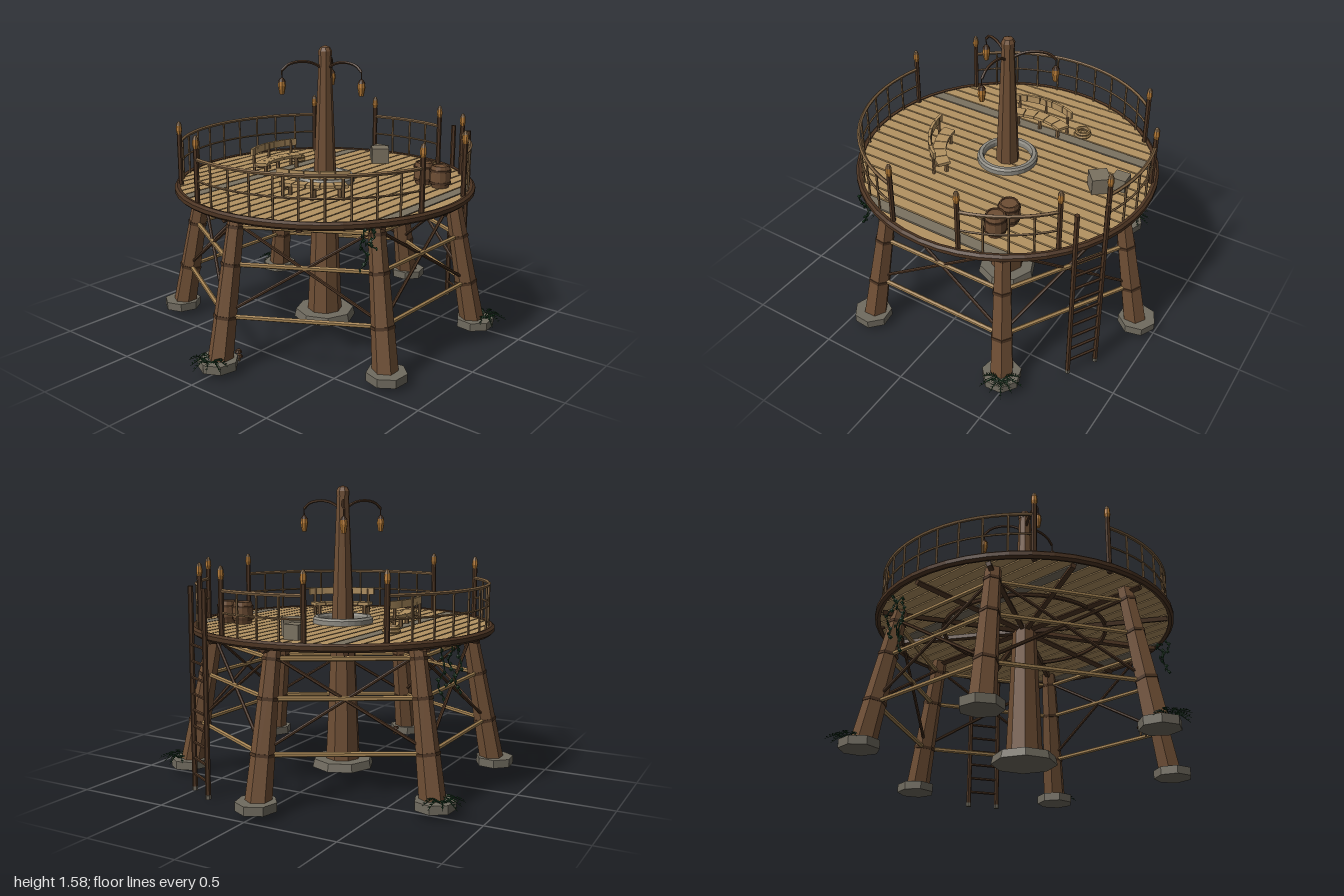
import * as THREE from 'three';
import { mergeGeometries } from 'three/addons/utils/BufferGeometryUtils.js';

const mat = (name, color, extra = {}) => Object.assign(new THREE.MeshStandardMaterial({ color, flatShading: true, ...extra }), { name });
const V = (x, y, z) => new THREE.Vector3(x, y, z);
const rad = d => d * Math.PI / 180;
const P = (r, deg, y) => V(r * Math.cos(rad(deg)), y, r * Math.sin(rad(deg)));

export function createModel() {
  const M = {
    plank: mat('plankTan', 0xb39262), beam: mat('beamTan', 0xa38252),
    brown: mat('trunkBrown', 0x6e4e34), dark: mat('darkWood', 0x4c3422),
    rail: mat('railWood', 0x7d6141), grey: mat('weatheredWood', 0x7b7261),
    stone: mat('footStone', 0x706b5f), ring: mat('ringStone', 0x8e8b82),
    amber: mat('amberLantern', 0xb87c36), green: mat('leafGreen', 0x1e4026, { side: THREE.DoubleSide }),
  };
  const root = new THREE.Group();
  root.name = 'lookoutPlatform';
  const tower = new THREE.Group();
  tower.name = 'tower';
  tower.position.z = -0.04;
  root.add(tower);

  const add = (name, geos, material) => {
    const list = [].concat(geos).map(g => g.index ? g.toNonIndexed() : g);
    const mesh = new THREE.Mesh(list.length > 1 ? mergeGeometries(list) : list[0], material);
    mesh.name = name;
    tower.add(mesh);
    return mesh;
  };
  // Tapered rod from a to b
  const rod = (a, b, r0, r1 = r0, sides = 6) => {
    const d = b.clone().sub(a);
    const q = new THREE.Quaternion().setFromUnitVectors(V(0, 1, 0), d.clone().normalize());
    return new THREE.CylinderGeometry(r1, r0, d.length(), sides).applyQuaternion(q)
      .translate(...a.clone().add(b).multiplyScalar(0.5).toArray());
  };
  // Horizontal slab covering part of a ring
  const arcSlab = (r0, r1, a0, a1, y, h, seg = 4) => {
    const s = new THREE.Shape();
    s.absarc(0, 0, r1, rad(a0), rad(a1), false);
    s.absarc(0, 0, r0, rad(a1), rad(a0), true);
    return new THREE.ExtrudeGeometry(s, { depth: h, bevelEnabled: false, curveSegments: seg })
      .rotateX(Math.PI / 2).translate(0, y + h, 0);
  };
  const arcTube = (r, a0, a1, y, t) => {
    const n = Math.ceil((a1 - a0) / 5), pts = [];
    for (let i = 0; i <= n; i++) pts.push(P(r, a0 + (a1 - a0) * i / n, y));
    return new THREE.TubeGeometry(new THREE.CatmullRomCurve3(pts), n, t, 5);
  };
  const lathe = (pts, sides) => new THREE.LatheGeometry(pts.map(p => new THREE.Vector2(...p)), sides);
  const box = (w, h, d, x, y, z, turn = 0) => new THREE.BoxGeometry(w, h, d).rotateY(turn).translate(x, y, z);

  // Central trunk, cap and stone footing
  add('trunk', rod(V(0, 0.06, 0), V(0, 1.55, 0), 0.098, 0.033, 8), M.brown);
  add('trunkCap', lathe([[0, 1.525], [0.037, 1.525], [0.037, 1.55], [0.026, 1.57], [0, 1.58]], 8), M.brown);
  add('trunkFoot', new THREE.CylinderGeometry(0.165, 0.175, 0.045, 8).translate(0, 0.052, 0), M.stone);
  add('trunkRing', lathe([[0.13, 0.835], [0.165, 0.835], [0.165, 0.86], [0.155, 0.872], [0.137, 0.872], [0.13, 0.86], [0.13, 0.835]], 28), M.ring);

  // Legs with footings and lashings, then ties and cross braces between neighbours
  const legR = y => 0.85 - 0.19 * y;
  const legs = [], feet = [], bands = [], ties = [], braces = [];
  for (let i = 0; i < 6; i++) {
    const a = 30 + i * 60, b = a + 60;
    legs.push(rod(P(legR(0.06), a, 0.06), P(legR(0.81), a, 0.81), 0.067, 0.042, 6));
    feet.push(new THREE.CylinderGeometry(0.105, 0.105, 0.045, 7).rotateY(Math.PI / 2 - rad(a)).translate(...P(0.855, a, 0.052).toArray()));
    for (const y of [0.285, 0.55, 0.74]) {
      const w = 0.073 - y * 0.033;
      bands.push(rod(P(legR(y - 0.008), a, y - 0.008), P(legR(y + 0.008), a, y + 0.008), w, w, 6));
      ties.push(rod(P(legR(y), a, y), P(legR(y), b, y), 0.013));
    }
    braces.push(rod(P(legR(0.3), a, 0.3), P(legR(0.76), b, 0.76), 0.009));
    braces.push(rod(P(legR(0.76), a, 0.76), P(legR(0.3), b, 0.3), 0.009));
  }
  add('legs', legs, M.brown);
  add('legFeet', feet, M.stone);
  add('legLashings', bands, M.dark);
  add('tieBeams', ties, M.beam);
  add('crossBraces', braces, M.dark);

  // Deck boards clipped to a circle
  const boards = { plank: [], grey: [] }, R = 0.805, pitch = 0.0693;
  for (let k = -11; k <= 11; k++) {
    const xs = [-1, -0.33, 0.33, 1].map(t => Math.max(-0.803, Math.min(0.803, k * pitch + t * 0.0305)));
    const pts = xs.map(x => new THREE.Vector2(x, Math.sqrt(R * R - x * x)));
    const back = xs.map(x => new THREE.Vector2(x, -Math.sqrt(R * R - x * x))).reverse();
    const g = new THREE.ExtrudeGeometry(new THREE.Shape([...pts, ...back]), { depth: 0.024, bevelEnabled: false });
    boards[k === -5 || k === 10 ? 'grey' : 'plank'].push(g.rotateX(Math.PI / 2).translate(0, 0.835, 0));
  }
  add('deckBoards', boards.plank, M.plank);
  add('weatheredBoards', boards.grey, M.grey);
  add('deckRim', lathe([[0.795, 0.805], [0.812, 0.8], [0.825, 0.812], [0.825, 0.832], [0.812, 0.843], [0.795, 0.84], [0.795, 0.805]], 48), M.dark);

  // Joists under the deck
  const joists = [];
  for (let i = 0; i < 12; i++) joists.push(rod(P(0.04, i * 30, 0.793), P(0.79, i * 30, 0.793), 0.017, 0.017, 4));
  joists.push(arcTube(0.45, 0, 360, 0.793, 0.012));
  add('joists', joists, M.dark);

  // Railing in four arcs, with lantern posts at the ends
  const railing = [], posts = [], lights = [], caps = [];
  for (const [a0, a1] of [[14.4, 105.6], [134, 226], [254.4, 290], [310, 345.6]]) {
    railing.push(arcTube(0.79, a0, a1, 1.06, 0.01), arcTube(0.79, a0, a1, 0.95, 0.006));
    const n = Math.round((a1 - a0) / 9.5);
    for (let i = 1; i < n; i++) {
      const a = a0 + (a1 - a0) * i / n;
      railing.push(rod(P(0.79, a, 0.835), P(0.79, a, 1.06), 0.0065, 0.0065, 5));
    }
    for (const a of [a0, a1]) {
      const p = P(0.79, a, 0), at = g => g.translate(p.x, 0, p.z);
      posts.push(rod(P(0.79, a, 0.8), P(0.79, a, 1.115), 0.014));
      lights.push(at(lathe([[0, 1.115], [0.012, 1.115], [0.017, 1.135], [0.014, 1.165], [0, 1.17]], 7)));
      caps.push(at(lathe([[0, 1.162], [0.016, 1.162], [0.009, 1.178], [0, 1.185]], 7)));
    }
  }
  add('railing', railing, M.rail);
  add('railPosts', posts, M.dark);
  add('postLanterns', lights, M.amber);
  add('postLanternCaps', caps, M.rail);

  // Hanging lanterns on curved arms
  const arms = [], lamps = [], lampCaps = [];
  for (const a of [0, 120, 240]) {
    const curve = new THREE.CatmullRomCurve3([P(0.02, a, 1.46), P(0.08, a, 1.49), P(0.15, a, 1.498), P(0.21, a, 1.485), P(0.245, a, 1.455)]);
    arms.push(new THREE.TubeGeometry(curve, 12, 0.008, 5), rod(P(0.245, a, 1.41), P(0.245, a, 1.458), 0.003));
    const p = P(0.245, a, 0);
    lamps.push(lathe([[0, 1.33], [0.013, 1.33], [0.021, 1.375], [0.018, 1.4], [0, 1.402]], 8).translate(p.x, 0, p.z));
    lampCaps.push(lathe([[0, 1.398], [0.021, 1.398], [0.01, 1.415], [0, 1.42]], 8).translate(p.x, 0, p.z));
  }
  add('lanternArms', arms, M.dark);
  add('hangingLanterns', lamps, M.amber);
  add('hangingLanternCaps', lampCaps, M.dark);

  // Ladder
  const ladder = [], ends = [], la = V(0.35, 0, -0.775), lb = V(0.5, 0, -0.69);
  const up = (p, y) => V(p.x, y, p.z);
  for (const p of [la, lb]) {
    ladder.push(rod(up(p, 0.02), up(p, 1.07), 0.014));
    ends.push(rod(up(p, 0), up(p, 0.022), 0.015));
  }
  for (let i = 0; i < 9; i++) ladder.push(rod(up(la, 0.09 + i * 0.085), up(lb, 0.09 + i * 0.085), 0.008));
  add('ladder', ladder, M.dark);
  add('ladderFeet', ends, M.stone);

  // Two curved benches with backrests
  for (const c of [60, 180]) {
    const wood = [], frame = [];
    for (let i = 0; i < 5; i++) {
      const a = c - 27 + i * 10.8;
      wood.push(arcSlab(0.335, 0.405, a + 0.3, a + 10.5, 0.893, 0.017));
      wood.push(arcSlab(0.415, 0.43, a + 0.3, a + 10.5, 0.95, 0.04));
    }
    for (const a of [c - 22, c, c + 22]) {
      frame.push(rod(P(0.42, a, 0.835), P(0.42, a, 0.985), 0.009));
      frame.push(rod(P(0.35, a, 0.835), P(0.35, a, 0.893), 0.012));
      frame.push(rod(P(0.345, a, 0.885), P(0.425, a, 0.885), 0.009));
    }
    add('benchBoards', wood, M.plank);
    add('benchFrame', frame, M.rail);
  }

  // Rope coil, barrels and crates
  const coil = [[0.04, 0.847], [0.036, 0.865], [0.018, 0.85]].map(([r, y]) => new THREE.TorusGeometry(r, 0.01, 6, 16).rotateX(Math.PI / 2).translate(-0.415, y, -0.245));
  add('ropeCoil', coil, M.beam);
  for (const [x, z] of [[0.46, -0.295], [0.57, -0.285]]) {
    add('barrel', lathe([[0, 0.835], [0.046, 0.835], [0.056, 0.87], [0.056, 0.92], [0.048, 0.955], [0.041, 0.955], [0.041, 0.948], [0, 0.948]], 12).translate(x, 0, z), M.brown);
    add('barrelHoops', [0.862, 0.928].map(y => new THREE.CylinderGeometry(0.058, 0.058, 0.012, 12).translate(x, y, z)), M.dark);
  }
  add('crates', [box(0.1, 0.09, 0.1, -0.02, 0.88, -0.55, 0.7), box(0.08, 0.075, 0.08, -0.09, 0.872, -0.64, 0.05)], M.grey);

  // Hanging vines
  const vines = [];
  for (const [x, z, len, s] of [[0.64, 0.5, 0.2, 1], [0.66, 0.46, 0.1, -1], [-0.69, -0.24, 0.28, 1], [-0.72, -0.2, 0.21, -1], [-0.77, -0.22, 0.24, 1]]) {
    const pts = [];
    for (let i = 0; i <= 8; i++) pts.push(V(x + s * 0.014 * Math.sin(i * 1.3), 0.8 - len * i / 8, z + s * 0.02 * Math.sin(i * 0.9)));
    vines.push(new THREE.TubeGeometry(new THREE.CatmullRomCurve3(pts), 16, 0.0035, 4));
    pts.forEach((p, i) => vines.push(new THREE.OctahedronGeometry(0.013).toNonIndexed().scale(1, 1, 0.4).rotateY(i * 1.9)
      .translate(p.x + 0.009 * Math.cos(i * 2.4), p.y, p.z + 0.009 * Math.sin(i * 2.4))));
  }
  add('vines', vines, M.green);

  // Fern tufts at three feet: ribs with paired leaflets
  const ferns = [];
  for (const a of [90, 210, 330]) {
    const base = P(0.91, a, 0.07);
    for (let k = 0; k < 7; k++) {
      const turn = a - 105 + k * 35, len = 0.1 + 0.02 * (k % 2);
      const at = t => base.clone().add(P(len * t, turn, 0.035 * Math.sin(t * 2.6) - 0.02 * t * t));
      ferns.push(rod(at(0), at(0.5), 0.003, 0.003, 4), rod(at(0.5), at(1), 0.003, 0.001, 4));
      for (let j = 2; j < 8; j++) for (const s of [-1, 1]) {
        const p = at(j / 8);
        ferns.push(rod(p, p.clone().add(P(0.024 * (1.15 - j / 9), turn + s * 55, 0)), 0.004, 0.001, 3));
      }
    }
  }
  add('ferns', ferns, M.green);

  // Mushrooms beside the front foot
  const caps2 = [], stems = [];
  for (const [x, z, h] of [[0.02, 0.73, 0.075], [0.04, 0.745, 0.06]]) {
    stems.push(rod(V(x, 0.03, z), V(x, h, z), 0.006));
    caps2.push(lathe([[0, h - 0.006], [0.019, h - 0.006], [0.013, h + 0.007], [0, h + 0.011]], 8).translate(x, 0, z));
  }
  add('mushroomStems', stems, M.rail);
  add('mushroomCaps', caps2, M.dark);
  return root;
}
